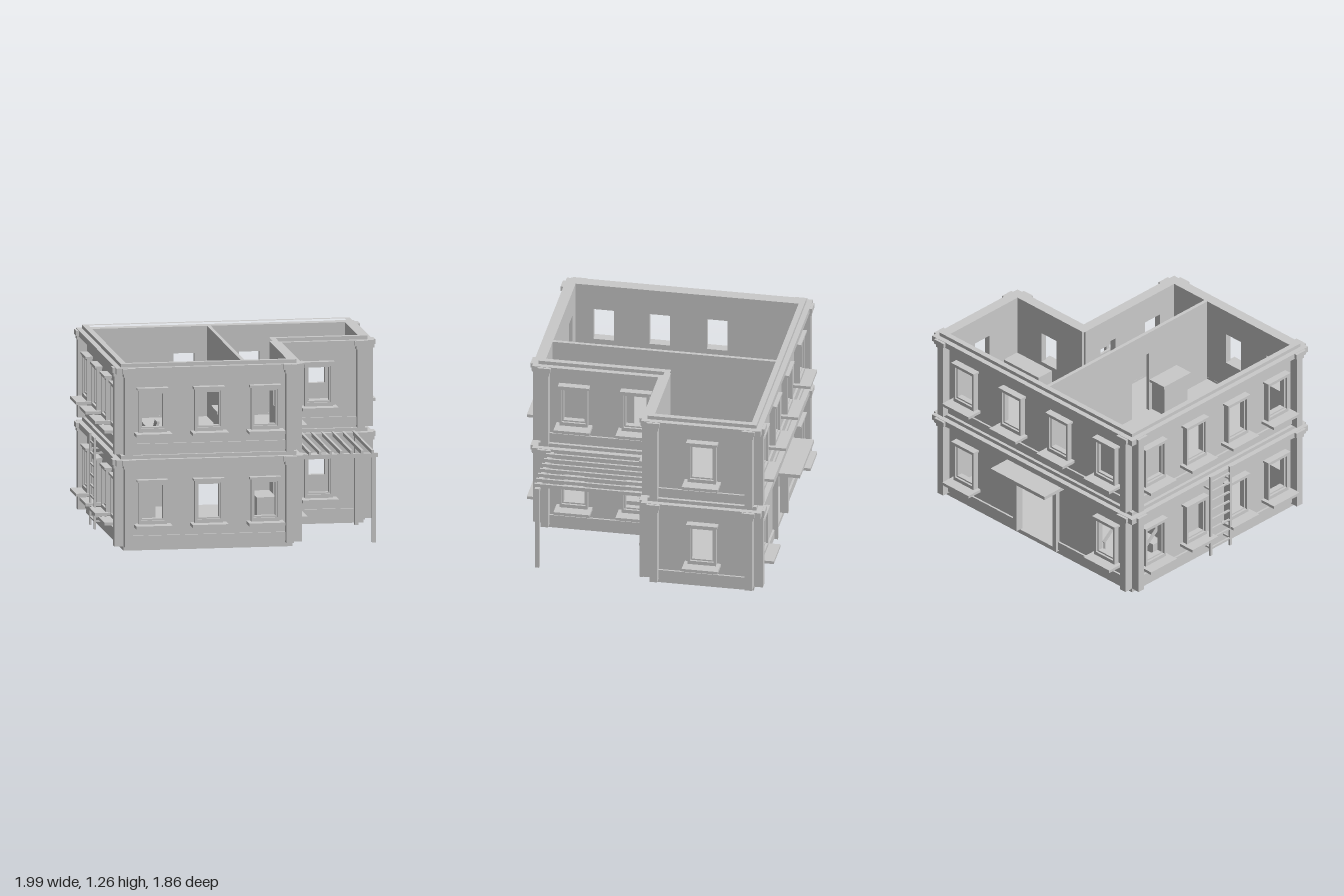
import * as THREE from 'three';

const stone = new THREE.MeshStandardMaterial({ color: 0xcacaca });
stone.name = 'light grey stone';

// Plan edges and storey height
const L = -0.88, R = 0.88, F = 0.815, B = -0.735, NX = 0.26, NZ = -0.04;
const STOREY = 0.62, THICK = 0.015;

function add(parent, name, geometry) {
  const mesh = new THREE.Mesh(geometry, stone);
  mesh.name = name;
  parent.add(mesh);
  return mesh;
}

// Box given by its minimum and maximum on each axis
function box(parent, name, x0, x1, y0, y1, z0, z1) {
  const mesh = add(parent, name, new THREE.BoxGeometry(x1 - x0, y1 - y0, z1 - z0));
  mesh.position.set((x0 + x1) / 2, (y0 + y1) / 2, (z0 + z1) / 2);
}

// Square bar between two points
function bar(parent, name, a, b, size) {
  const from = new THREE.Vector3(...a), to = new THREE.Vector3(...b);
  const mesh = add(parent, name, new THREE.BoxGeometry(size, size, from.distanceTo(to)));
  mesh.position.copy(from).add(to).multiplyScalar(0.5);
  mesh.lookAt(to);
}

function rect(x0, x1, y0, y1, Type = THREE.Shape) {
  return new Type([[x0, y0], [x1, y0], [x1, y1], [x0, y1]].map(p => new THREE.Vector2(...p)));
}

function extrude(shape, depth) {
  return new THREE.ExtrudeGeometry(shape, { depth, bevelEnabled: false });
}

// L-shaped plan, pushed outwards by d
function plan(d, Type = THREE.Shape) {
  return new Type([
    [L - d, F + d], [NX + d, F + d], [NX + d, NZ + d],
    [R + d, NZ + d], [R + d, B - d], [L - d, B - d],
  ].map(p => new THREE.Vector2(...p)));
}

// Horizontal plate or ring following the plan
function plate(parent, name, d, y0, y1, hole) {
  const shape = plan(d);
  if (hole) shape.holes.push(hole);
  const mesh = add(parent, name, extrude(shape, y1 - y0).rotateX(Math.PI / 2));
  mesh.position.y = y1;
}

// Stepped frame with head and sill; x is the centre along the wall
function windowTrim(parent, x) {
  const g = new THREE.Group();
  g.name = 'window';
  g.position.x = x;
  const outer = rect(-0.095, 0.095, 0.18, 0.465);
  outer.holes.push(rect(-0.08, 0.08, 0.205, 0.45, THREE.Path));
  add(g, 'outerFrame', extrude(outer, 0.04));
  const inner = rect(-0.08, 0.08, 0.205, 0.45);
  inner.holes.push(rect(-0.07, 0.07, 0.215, 0.44, THREE.Path));
  add(g, 'innerFrame', extrude(inner, 0.04)).position.z = -0.015;
  box(g, 'windowHead', -0.105, 0.105, 0.465, 0.48, 0, 0.05);
  box(g, 'windowSill', -0.122, 0.122, 0.16, 0.18, 0, 0.117);
  parent.add(g);
}

// Corner pilaster with stepped capital
function pilaster(parent, x0, x1) {
  box(parent, 'pilaster', x0, x1, 0.03, 0.56, 0, 0.062);
  box(parent, 'capitalNeck', x0 - 0.008, x1 + 0.008, 0.56, 0.585, 0, 0.07);
  box(parent, 'capital', x0 - 0.018, x1 + 0.018, 0.585, 0.618, 0, 0.077);
}

// Walls: start point, turn, length, window centres, which ends carry pilasters, blind upper window
const walls = [
  { name: 'frontWall', at: [L, F], turn: 0, len: NX - L, win: [0.19, 0.57, 0.95], ends: [1, 1] },
  { name: 'notchSideWall', at: [NX, F], turn: 1, len: F - NZ, win: [0.22, 0.64], ends: [1, 0] },
  { name: 'notchFrontWall', at: [NX, NZ], turn: 0, len: R - NX, win: [0.312], ends: [0, 1] },
  { name: 'leftWall', at: [R, NZ], turn: 1, len: NZ - B, win: [0.35], ends: [1, 1] },
  { name: 'backWall', at: [R, B], turn: 2, len: R - L, win: [0.22, 0.66, 1.1, 1.54], ends: [1, 1], door: true, blind: 3 },
  { name: 'rightWall', at: [L, B], turn: -1, len: F - B, win: [0.185, 0.575, 0.965, 1.345], ends: [1, 1], blind: 0 },
];

function buildWall(parent, w, ground) {
  const g = new THREE.Group();
  g.name = w.name;
  g.position.set(w.at[0], 0, w.at[1]);
  g.rotation.y = w.turn * Math.PI / 2;
  const hasDoor = w.door && ground;
  const mid = w.len / 2;
  const shape = rect(0, w.len, 0, STOREY);
  w.win.forEach((x, i) => {
    if (hasDoor && (i === 1 || i === 2)) return;
    if (ground || i !== w.blind) shape.holes.push(rect(x - 0.07, x + 0.07, 0.215, 0.44, THREE.Path));
    windowTrim(g, x);
  });
  if (hasDoor) {
    shape.holes.push(rect(mid - 0.17, mid + 0.17, 0.03, 0.52, THREE.Path));
    for (const s of [-1, 1]) {
      const x = mid + s * 0.185;
      box(g, 'doorJamb', x - 0.017, x + 0.017, 0.03, 0.535, -0.02, 0.035);
    }
    box(g, 'doorLintel', mid - 0.168, mid + 0.168, 0.515, 0.535, -0.02, 0.035);
    box(g, 'doorCanopy', mid - 0.253, mid + 0.253, 0.535, 0.56, 0, 0.195);
  }
  add(g, 'wallPanel', extrude(shape, THICK)).position.z = -THICK;
  // Skirting, broken at the door
  const runs = hasDoor ? [[0, mid - 0.2], [mid + 0.2, w.len]] : [[0, w.len]];
  for (const [a, b] of runs) box(g, 'skirting', a, b, 0.04, 0.1, 0, 0.014);
  if (w.ends[0]) pilaster(g, 0, 0.052);
  if (w.ends[1]) pilaster(g, w.len - 0.052, w.len);
  parent.add(g);
}

function buildStorey(ground) {
  const g = new THREE.Group();
  g.name = ground ? 'groundStorey' : 'upperStorey';
  g.position.y = ground ? 0 : STOREY;
  for (const w of walls) buildWall(g, w, ground);
  plate(g, 'cornice', 0.058, 0.58, 0.62, plan(-0.014, THREE.Path));
  plate(g, 'coping', 0.022, 0.62, 0.645, plan(-0.016, THREE.Path));
  return g;
}

// Solid steps climbing towards the front, with handrails
function buildStairs() {
  const g = new THREE.Group();
  g.name = 'stairs';
  const run = 0.083, rise = 0.07;
  for (let i = 0; i < 8; i++) {
    const z = -0.65 + i * run;
    box(g, 'step', -0.83, -0.535, 0.03, 0.03 + (i + 1) * rise, z, z + run);
  }
  for (const x of [-0.838, -0.53]) {
    bar(g, 'handrail', [x, 0.2, -0.65], [x, 0.735, 0.01], 0.016);
    bar(g, 'handrail', [x, 0.735, 0.01], [x, 0.735, 0.1], 0.016);
    for (const [z, y0, y1] of [[-0.64, 0.03, 0.2], [0.09, 0.63, 0.735]]) {
      box(g, 'railPost', x - 0.006, x + 0.006, y0, y1, z - 0.006, z + 0.006);
    }
  }
  return g;
}

function buildPergola() {
  const g = new THREE.Group();
  g.name = 'pergola';
  for (let i = 0; i < 7; i++) {
    const x = 0.385 + i * 0.0705;
    box(g, 'slat', x - 0.008, x + 0.008, 0.6, 0.625, -0.02, 0.765);
  }
  box(g, 'beam', 0.29, 0.845, 0.575, 0.602, 0.725, 0.757);
  box(g, 'post', 0.805, 0.832, 0, 0.575, 0.728, 0.755);
  box(g, 'wallPost', 0.805, 0.83, 0, 0.6, 0.025, 0.05);
  return g;
}

function buildLadder() {
  const g = new THREE.Group();
  g.name = 'ladder';
  for (const z of [-0.07, 0.115]) {
    box(g, 'ladderRail', -0.966, -0.952, 0.03, 0.65, z - 0.011, z + 0.011);
    for (const y of [0.08, 0.54]) box(g, 'bracket', -0.96, -0.88, y, y + 0.012, z - 0.005, z + 0.005);
  }
  for (let i = 0; i < 8; i++) {
    const y = 0.08 + i * 0.073;
    box(g, 'rung', -0.965, -0.953, y, y + 0.012, -0.07, 0.115);
  }
  return g;
}

export function createModel() {
  const model = new THREE.Group();
  model.name = 'house';
  model.add(buildStorey(true), buildStorey(false));

  // Floors, the upper one open over the stairs
  plate(model, 'groundFloor', -0.004, 0.0, 0.03);
  plate(model, 'upperFloor', -0.01, 0.605, 0.63, rect(-0.862, -0.53, -0.715, 0.015, THREE.Path));

  // Upper partition with a doorway
  box(model, 'partition', -0.065, -0.04, 0.63, 1.24, -0.72, 0.09);
  box(model, 'partition', -0.065, -0.04, 0.63, 1.24, 0.25, 0.8);
  box(model, 'partitionLintel', -0.065, -0.04, 1.08, 1.24, 0.09, 0.25);

  // Furniture
  box(model, 'cabinet', -0.185, -0.065, 0.63, 0.85, 0.275, 0.49);
  box(model, 'cabinetTop', -0.2, -0.065, 0.85, 0.87, 0.255, 0.51);
  box(model, 'counter', 0.53, 0.855, 0.63, 0.82, -0.195, -0.07);
  box(model, 'groundCounter', 0.11, 0.24, 0.03, 0.24, -0.02, 0.26);

  model.add(buildStairs(), buildPergola(), buildLadder());
  return model;
}
